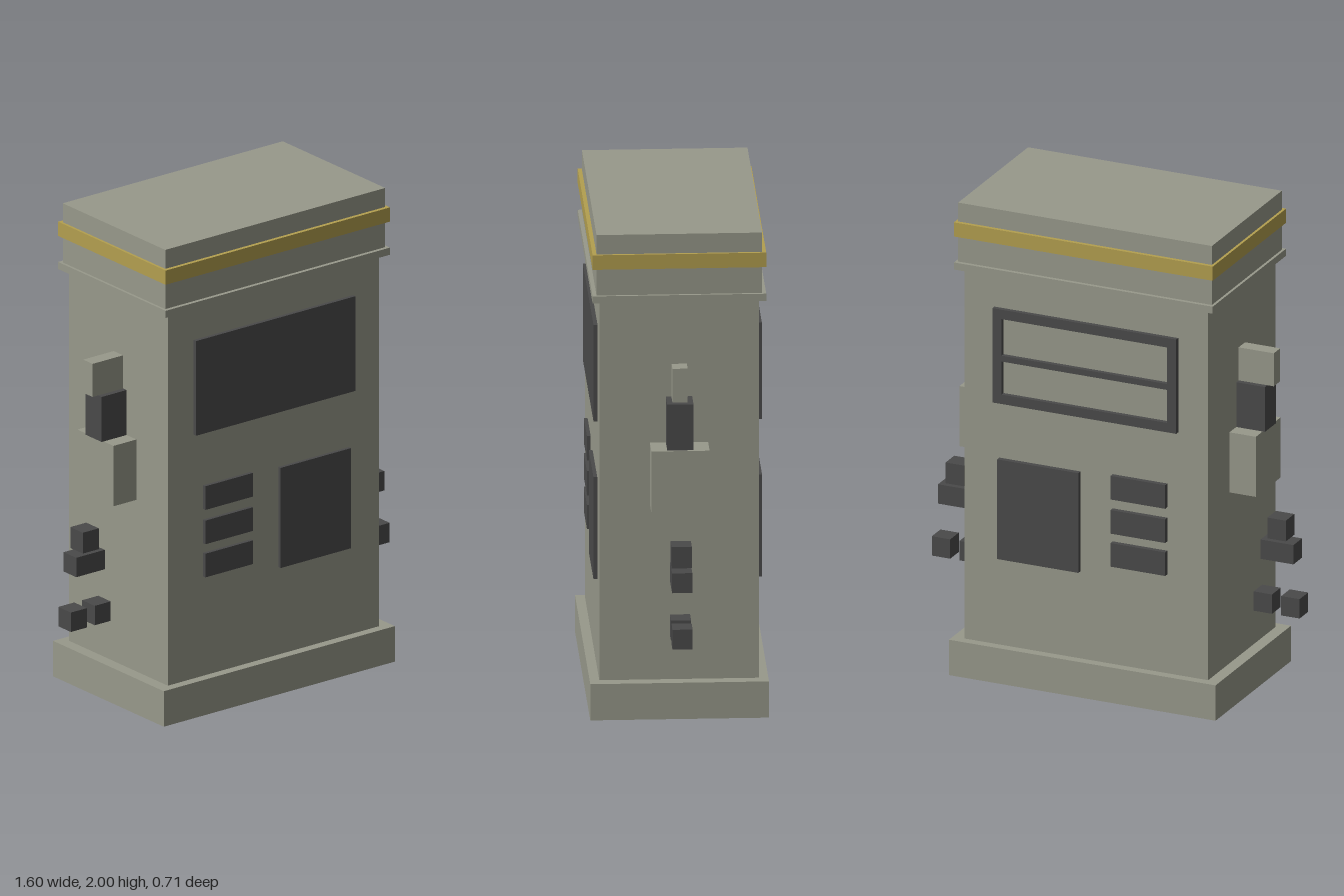
import * as THREE from 'three';

export function createModel() {
  const model = new THREE.Group();
  model.name = 'kioskPump';

  const mat = (name, color) => {
    const m = new THREE.MeshStandardMaterial({ color });
    m.name = name;
    return m;
  };
  const casing = mat('casingGrey', 0x98998b);
  const dark = mat('darkGrey', 0x4a4a4a);
  const gold = mat('goldTrim', 0xb39f4f);

  // Box given by its extents on each axis
  const box = (name, material, [x0, x1], [y0, y1], [z0, z1]) => {
    const mesh = new THREE.Mesh(new THREE.BoxGeometry(x1 - x0, y1 - y0, z1 - z0), material);
    mesh.position.set((x0 + x1) / 2, (y0 + y1) / 2, (z0 + z1) / 2);
    mesh.name = name;
    model.add(mesh);
    return mesh;
  };
  // Box centred on x and z
  const tier = (name, material, hx, y0, y1, hz) =>
    box(name, material, [-hx, hx], [y0, y1], [-hz, hz]);

  // Cabinet
  tier('base', casing, 0.58, 0, 0.15, 0.353);
  tier('body', casing, 0.53, 0.15, 1.72, 0.315);
  tier('lowerTrim', casing, 0.563, 1.72, 1.75, 0.343);
  tier('head', casing, 0.552, 1.75, 2, 0.327);
  tier('goldBand', gold, 0.563, 1.86, 1.92, 0.343);

  // Front and back panels and button strips
  const rows = [0.57, 0.71, 0.855];
  const faces = [['front', [0.31, 0.33]], ['back', [-0.336, -0.31]]];
  for (const [side, z] of faces) {
    box(side + 'Panel', dark, [0.025, 0.378], [0.52, 0.943], z);
    rows.forEach((y) => box(side + 'Strip', dark, [-0.353, -0.115], [y, y + 0.1], z));
  }
  box('frontScreen', dark, [-0.4, 0.4], [1.18, 1.58], [0.31, 0.331]);

  // Back display frame with two openings
  const rect = (Type, x, y0, y1) => new Type([
    new THREE.Vector2(-x, y0), new THREE.Vector2(x, y0),
    new THREE.Vector2(x, y1), new THREE.Vector2(-x, y1),
  ]);
  const frameShape = rect(THREE.Shape, 0.4, 1.18, 1.58);
  frameShape.holes.push(rect(THREE.Path, 0.36, 1.22, 1.36), rect(THREE.Path, 0.36, 1.385, 1.54));
  const frame = new THREE.Mesh(
    new THREE.ExtrudeGeometry(frameShape, { depth: 0.024, bevelEnabled: false }), dark);
  frame.position.z = -0.334;
  frame.name = 'backDisplayFrame';
  model.add(frame);

  // Holsters and loose hose blocks, mirrored on both sides
  for (const s of [1, -1]) {
    const side = s > 0 ? 'left' : 'right';
    const part = (name, material, x0, x1, y0, y1, hz) =>
      box(side + name, material, s > 0 ? [x0, x1] : [-x1, -x0], [y0, y1], [-hz, hz]);
    part('Holster', casing, 0.52, 0.645, 0.875, 1.13, 0.115);
    part('NozzleGrip', dark, 0.52, 0.635 + (s < 0 ? 0.02 : 0), 1.13, 1.32, 0.052);
    if (s > 0) part('NozzleTip', casing, 0.545, 0.61, 1.32, 1.46, 0.03);
    else part('NozzleTip', casing, 0.52, 0.683, 1.32, 1.46, 0.03);
    part('HoseTop', dark, 0.66, 0.74, 0.675, 0.763, 0.04);
    part('HoseMiddle', dark, 0.63, 0.773, 0.583, 0.665, 0.04);
    part('HoseInner', dark, 0.6, 0.68, 0.358, 0.44, 0.04);
    part('HoseOuter', dark, 0.72, 0.8, 0.358, 0.44, 0.04);
  }

  return model;
}
